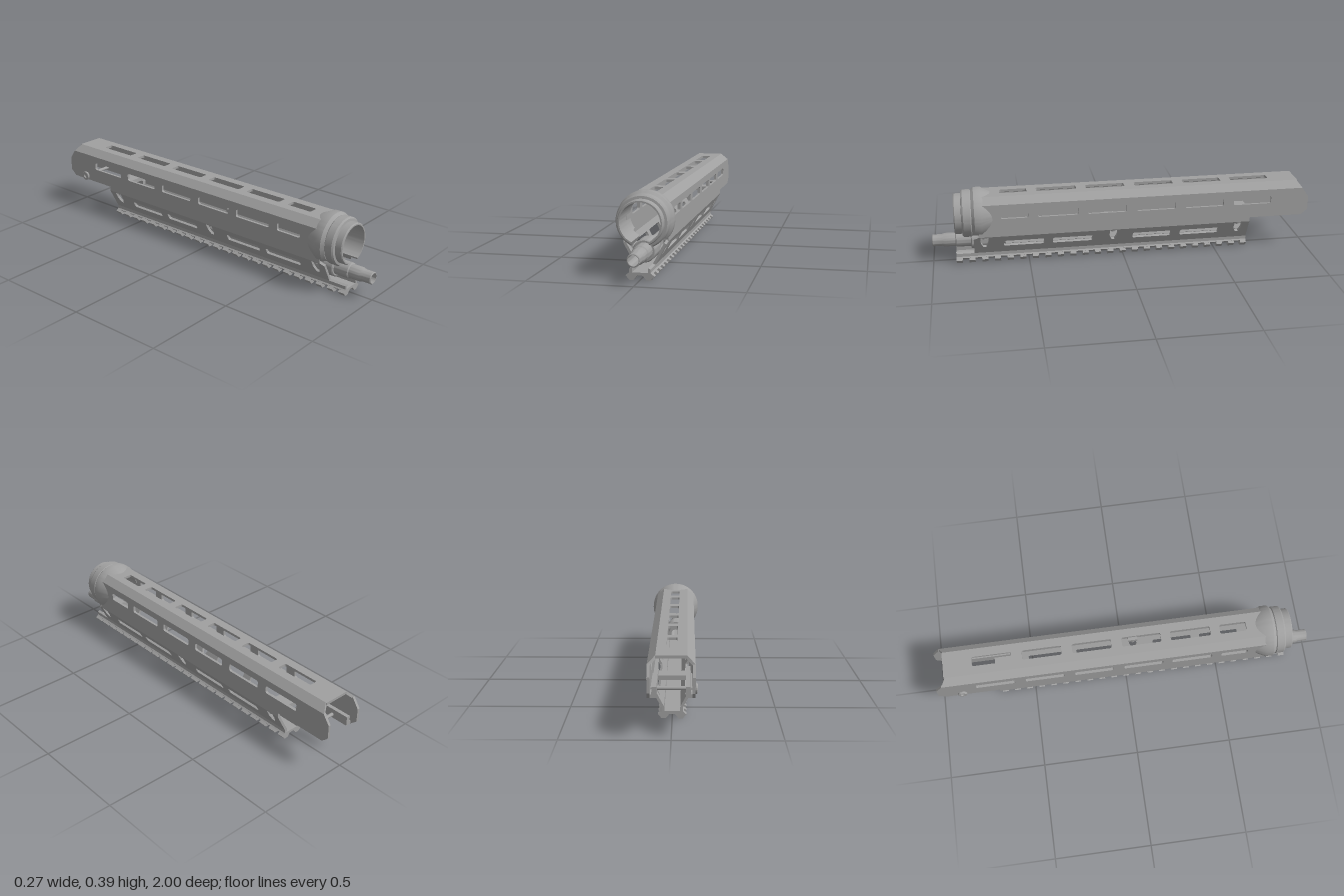
import * as THREE from 'three';
import { toCreasedNormals } from 'three/addons/utils/BufferGeometryUtils.js';

const metal = new THREE.MeshStandardMaterial({ color: 0xa0a0a0, side: THREE.DoubleSide });
metal.name = 'grey metal';

const poly = pts => new THREE.Shape(pts.map(([a, b]) => new THREE.Vector2(a, b)));
const mirrored = pts => pts.map(([x, y]) => [-x, y]);

export function createModel() {
  const model = new THREE.Group();
  model.name = 'handguard';

  function add(name, geometry) {
    const mesh = new THREE.Mesh(geometry, metal);
    mesh.name = name;
    model.add(mesh);
    return mesh;
  }

  // Constant cross-section in x,y running along z
  function prism(name, pts, z0, z1) {
    const g = new THREE.ExtrudeGeometry(poly(pts), { depth: z1 - z0, bevelEnabled: false });
    return add(name, g.translate(0, 0, z0));
  }

  // Rounded slot hole
  function slot(z0, z1, s0, s1, r = 0.009) {
    const p = new THREE.Path();
    p.moveTo(z0 + r, s0);
    p.lineTo(z1 - r, s0);
    p.absarc(z1 - r, s0 + r, r, -Math.PI / 2, 0);
    p.absarc(z1 - r, s1 - r, r, 0, Math.PI / 2);
    p.absarc(z0 + r, s1 - r, r, Math.PI / 2, Math.PI);
    p.absarc(z0 + r, s0 + r, r, Math.PI, Math.PI * 1.5);
    return p;
  }

  // Flat wall: outline in (z, distance from p0 towards p1), thickened inwards
  function panel(name, p0, p1, outline, holes = [], t = 0.013) {
    const v = new THREE.Vector3(p1[0] - p0[0], p1[1] - p0[1], 0).normalize();
    const shape = poly(outline);
    shape.holes.push(...holes);
    const g = new THREE.ExtrudeGeometry(shape, { depth: t, bevelEnabled: false, curveSegments: 4 });
    const u = new THREE.Vector3(0, 0, 1);
    const m = new THREE.Matrix4().makeBasis(u, v, u.clone().cross(v)).setPosition(p0[0], p0[1], 0);
    return add(name, g.applyMatrix4(m));
  }

  // Turned part around a z axis, with an optional gap (half angle) at the bottom
  function turned(name, profile, y, gap = 0, segments = 64) {
    const pts = [...profile, profile[0]].map(([r, z]) => new THREE.Vector2(r, z));
    const g = new THREE.LatheGeometry(pts, segments, gap, Math.PI * 2 - gap * 2);
    add(name, toCreasedNormals(g.rotateX(Math.PI / 2), 0.5)).position.y = y;
    if (!gap) return;
    for (const a of [gap, -gap]) {
      const cap = new THREE.ShapeGeometry(poly(profile));
      const m = new THREE.Matrix4().makeBasis(
        new THREE.Vector3(Math.sin(a), -Math.cos(a), 0),
        new THREE.Vector3(0, 0, 1),
        new THREE.Vector3(-Math.cos(a), -Math.sin(a), 0));
      add(name + 'End', cap.applyMatrix4(m)).position.y = y;
    }
  }

  const upperSlots = [[0.5, 0.64], [0.24, 0.45], [-0.015, 0.19], [-0.275, -0.07], [-0.535, -0.33], [-0.795, -0.59]];
  const lowerSlots = [[0.42, 0.63], [0.165, 0.375], [-0.255, -0.05], [-0.515, -0.305]];
  const screwZ = [0.73, 0.055, -0.62];

  // Top wall
  panel('topWall', [0.07, 0.37], [-0.07, 0.37],
    [[-0.945, 0], [0.735, 0], [0.735, 0.14], [-0.945, 0.14]],
    upperSlots.map(([a, b]) => slot(a, b, 0.045, 0.095)));

  const chamfer = Math.hypot(0.037, 0.035);
  const lowLen = Math.hypot(0.057, 0.108);
  const lowS = y => (y - 0.052) / 0.108 * lowLen;

  for (const side of [1, -1]) {
    const name = side > 0 ? 'left' : 'right';
    // The right walls run the other way so that they still thicken inwards
    const wall = (label, p0, p1, outline, holes) => {
      const mesh = panel(name + label, p0, p1, outline, holes);
      mesh.scale.x = side;
      return mesh;
    };
    wall('Chamfer', [0.107, 0.335], [0.07, 0.37],
      [[-0.965, 0], [0.735, 0], [0.735, chamfer], [-0.94, chamfer]]);
    wall('SideWall', [0.107, 0.16], [0.107, 0.335],
      [[-0.68, 0], [0.76, 0], [0.735, 0.175], [-0.965, 0.175], [-1, 0.125], [-1, 0.053], [-0.965, 0.023], [-0.68, 0.023]],
      upperSlots.map(([a, b]) => slot(a, b, 0.098, 0.139)));

    // Slanted lower wall with slots and screw pockets
    const pockets = screwZ.map(z => new THREE.Path([
      [z - 0.02, lowS(0.155)], [z - 0.02, lowS(0.12)], [z - 0.008, lowS(0.092)],
      [z + 0.008, lowS(0.092)], [z + 0.02, lowS(0.12)], [z + 0.02, lowS(0.155)]
    ].map(([a, b]) => new THREE.Vector2(a, b))));
    wall('LowerWall', [0.05, 0.052], [0.107, 0.16],
      [[-0.68, 0], [0.785, 0], [0.785, lowLen * 0.9], [0.76, lowLen], [-0.68, lowLen]],
      [...lowerSlots.map(([a, b]) => slot(a, b, lowS(0.093), lowS(0.128))), ...pockets]);

    const flip = pts => side > 0 ? pts : mirrored(pts);
    // Foot joining the lower wall to the rail
    prism(name + 'RailFoot', flip([[0.037, 0.03], [0.05, 0.03], [0.05, 0.052], [0.037, 0.058]]), -0.68, 0.88);
    // Inner flange under the rear opening
    prism(name + 'InnerFlange', flip([[0.105, 0.184], [0.065, 0.184], [0.065, 0.233], [0.085, 0.233], [0.088, 0.2], [0.105, 0.2]]),
      -0.965, -0.6);

    // Screws and their bosses
    for (const z of screwZ) {
      add(name + 'ScrewBoss', new THREE.BoxGeometry(0.026, 0.02, 0.05).translate(side * 0.087, 0.173, z));
      add(name + 'Screw', new THREE.CylinderGeometry(0.011, 0.011, 0.022, 16).translate(side * 0.086, 0.155, z));
    }
  }

  // Front collar, open at the bottom
  turned('collar', [[0.095, 0.68], [0.105, 0.68], [0.134, 0.74], [0.134, 0.775], [0.122, 0.79], [0.095, 0.79]], 0.26, 0.85);
  turned('frontRing', [[0.095, 0.72], [0.119, 0.72], [0.119, 0.79], [0.124, 0.795], [0.124, 0.832], [0.118, 0.84],
    [0.106, 0.842], [0.106, 0.875], [0.102, 0.88], [0.095, 0.88]], 0.26, 0.42);

  // Stepped tube below the collar
  turned('lowerTube', [[0.025, 0.62], [0.04, 0.62], [0.04, 0.7], [0.054, 0.7], [0.054, 0.795], [0.049, 0.8], [0.041, 0.8],
    [0.041, 0.875], [0.036, 0.88], [0.036, 0.935], [0.031, 0.95], [0.031, 0.997], [0.028, 1], [0.025, 1]], 0.117, 0, 40);

  // Rear cross plate, cross pin and bolt head
  add('crossPlate', new THREE.BoxGeometry(0.14, 0.022, 0.09).translate(0, 0.2, -0.645));
  add('crossPin', new THREE.CylinderGeometry(0.009, 0.009, 0.205, 20).rotateZ(Math.PI / 2).translate(0, 0.203, -0.875));
  const head = [[0.009, 0], [0.025, 0], [0.025, 0.008], [0.022, 0.011], [0.012, 0.011], [0.009, 0.004]]
    .map(([r, h]) => new THREE.Vector2(r, h));
  add('boltHead', toCreasedNormals(new THREE.LatheGeometry(head, 28).rotateZ(Math.PI / 2).translate(-0.106, 0.203, -0.875), 0.5));

  // Bottom rail: a continuous spine with evenly spaced teeth
  const spine = [[0.05, 0.035], [0.056, 0.029], [0.05, 0.022]];
  prism('railSpine', [...spine, ...mirrored(spine).reverse()], -0.68, 0.88);
  const tooth = [[0.048, 0.0345], [0.067, 0.02], [0.05, 0], [0.03, 0], [0.013, 0.0215]];
  const count = 24, width = 0.032, pitch = (1.56 - width) / (count - 1);
  for (let i = 0; i < count; i++) {
    const z = -0.68 + i * pitch;
    prism('railTooth', [...tooth, ...mirrored(tooth).reverse()], z, z + width);
  }
  return model;
}
